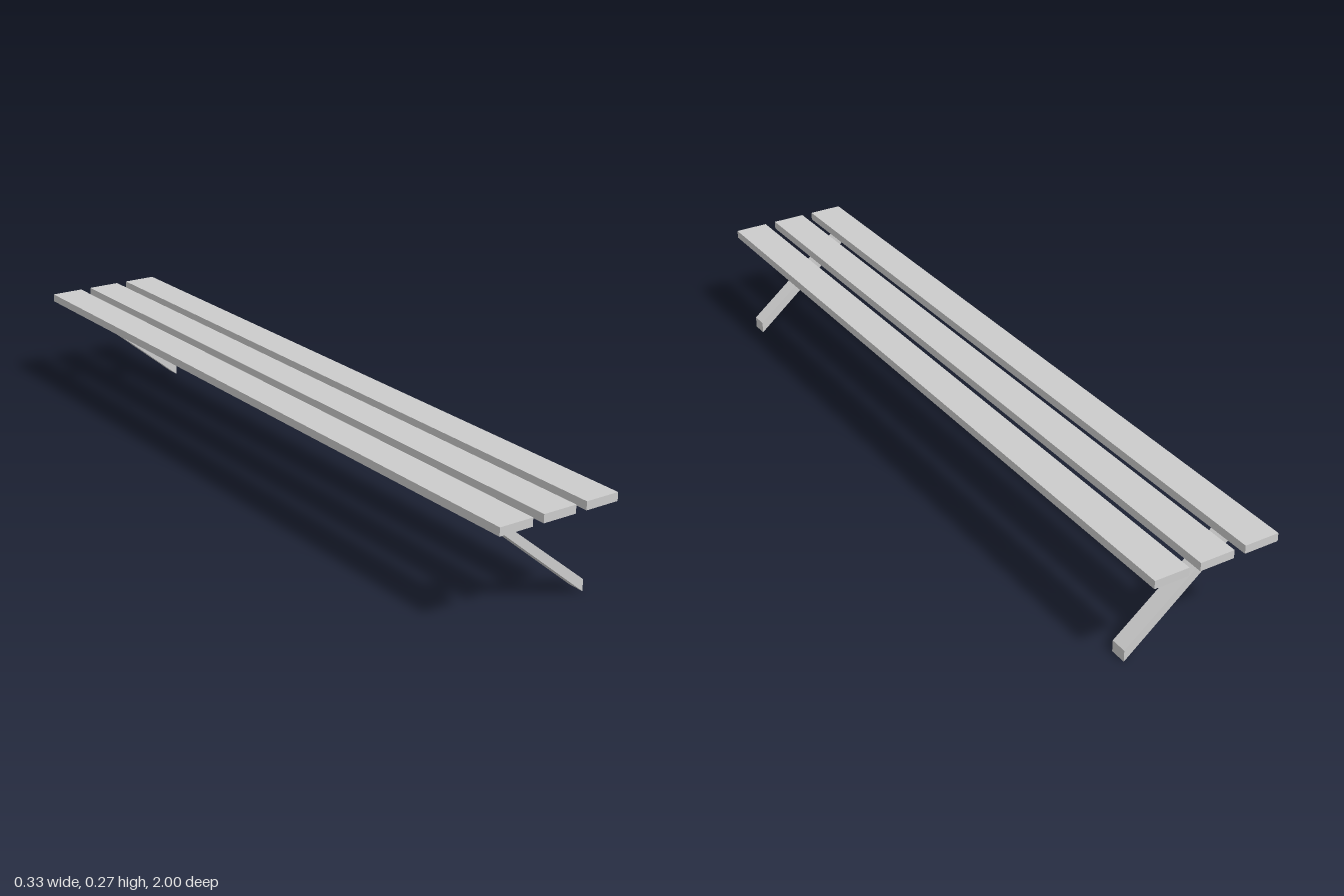
import * as THREE from 'three';

export function createModel() {
  const model = new THREE.Group();
  model.name = 'bench';
  const material = new THREE.MeshStandardMaterial({ color: 0xcccccc, flatShading: true });

  const halfWidth = 0.165;
  const slatWidth = 0.09;
  const slatBottom = 0.251;
  const slatThickness = 0.021;

  // Three long seat slats with gaps between them
  const slatGeometry = new THREE.BoxGeometry(slatWidth, slatThickness, 2);
  for (const i of [-1, 0, 1]) {
    const slat = new THREE.Mesh(slatGeometry, material);
    slat.name = 'seatSlat';
    slat.position.set(i * (halfWidth - slatWidth / 2), slatBottom + slatThickness / 2, 0);
    model.add(slat);
  }

  // Slanted braces, cut flush under the seat and upright at the foot
  const legDepth = 0.043;
  const profile = new THREE.Shape([
    new THREE.Vector2(-0.138, slatBottom),
    new THREE.Vector2(halfWidth, 0),
    new THREE.Vector2(halfWidth, 0.03),
    new THREE.Vector2(-0.108, slatBottom),
  ]);
  const legGeometry = new THREE.ExtrudeGeometry(profile, { depth: legDepth, bevelEnabled: false });
  legGeometry.translate(0, 0, -legDepth / 2);
  for (const side of [-1, 1]) {
    const leg = new THREE.Mesh(legGeometry, material);
    leg.name = side > 0 ? 'frontLeg' : 'backLeg';
    leg.position.z = side * 0.89;
    model.add(leg);
  }

  return model;
}
